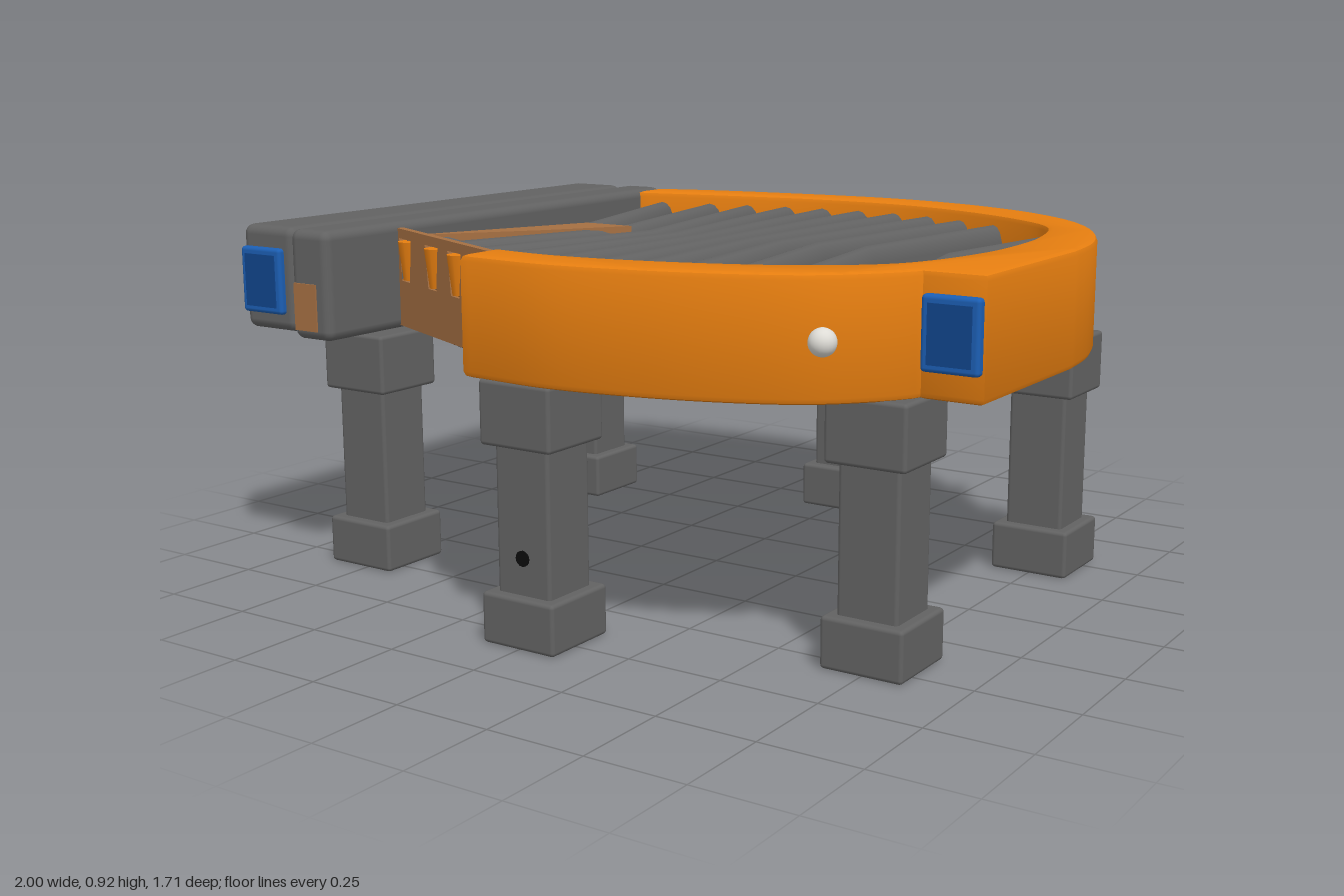
import * as THREE from 'three';
import { RoundedBoxGeometry } from 'three/addons/geometries/RoundedBoxGeometry.js';
import { toCreasedNormals } from 'three/addons/utils/BufferGeometryUtils.js';

function material(name, color, side = THREE.FrontSide) {
  const m = new THREE.MeshStandardMaterial({ color, side });
  m.name = name;
  return m;
}

export function createModel() {
  const model = new THREE.Group();
  model.name = 'slattedTable';
  const orange = material('orange', 0xe67e10);
  const grey = material('grey', 0x626262, THREE.DoubleSide);
  const brown = material('brown', 0xa56f42);
  const black = material('black', 0x0c0c0c);
  const blue = material('blue', 0x1c5fb4);
  const darkBlue = material('dark blue', 0x10458c);
  const white = material('white', 0xdedcd6);

  function add(name, geometry, mat, x = 0, y = 0, z = 0, parent = model) {
    const mesh = new THREE.Mesh(geometry, mat);
    mesh.name = name;
    mesh.position.set(x, y, z);
    parent.add(mesh);
    return mesh;
  }
  const rbox = (w, h, d, r = 0.015) => new RoundedBoxGeometry(w, h, d, 2, r);

  // Smooth curve through [x, z] pairs
  const smooth = (pts, n = 40) =>
    new THREE.SplineCurve(pts.map(p => new THREE.Vector2(...p))).getPoints(n);
  const corner = (x, z) => new THREE.Vector2(x, z);

  // Slab drawn in plan (x, z) between two heights
  function slab(points, bottom, top, bevel = 0) {
    const g = new THREE.ExtrudeGeometry(new THREE.Shape(points), {
      depth: top - bottom - 2 * bevel, bevelEnabled: bevel > 0, bevelSize: bevel,
      bevelThickness: bevel, bevelOffset: -bevel, bevelSegments: 2,
    });
    g.rotateX(Math.PI / 2);
    g.translate(0, top - bevel, 0);
    return toCreasedNormals(g, 0.6);
  }

  // Curved rim, with a stepped block at the left and an open front right
  const outerBack = smooth([[-0.69, -0.725], [-0.5, -0.785], [-0.25, -0.83], [0, -0.857], [0.2, -0.845],
    [0.4, -0.795], [0.6, -0.7], [0.78, -0.55], [0.9, -0.36], [0.97, -0.17], [0.995, 0]]);
  const outerFront = smooth([[0.84, 0.5], [0.79, 0.57], [0.69, 0.67], [0.55, 0.745], [0.35, 0.81],
    [0.1, 0.852], [-0.145, 0.84]]);
  const inner = smooth([[-0.145, 0.71], [0.02, 0.725], [0.2, 0.705], [0.4, 0.65], [0.58, 0.57], [0.72, 0.46],
    [0.785, 0.34], [0.825, 0.16], [0.83, 0], [0.81, -0.2], [0.74, -0.42], [0.6, -0.55], [0.4, -0.655],
    [0.2, -0.715], [0, -0.73], [-0.2, -0.715], [-0.45, -0.665], [-0.69, -0.61]], 70);
  add('rim', slab([...outerBack, corner(0.995, 0.485), corner(0.845, 0.485), ...outerFront, ...inner],
    0.63, 0.915, 0.015), orange);

  // Dark bed under the slats
  add('bed', slab([...inner, corner(-0.69, 0.45)], 0.645, 0.78), black);

  // Bent slats, pinched at the middle: apexX, backX, backZ, frontX, frontZ
  const slats = [
    [-0.44, -0.61, -0.63, -0.62, 0.48], [-0.32, -0.46, -0.67, -0.5, 0.53],
    [-0.21, -0.34, -0.69, -0.37, 0.59], [-0.13, -0.22, -0.72, -0.25, 0.65],
    [-0.055, -0.1, -0.73, -0.11, 0.72], [0.02, 0.02, -0.74, 0.03, 0.73],
    [0.1, 0.14, -0.73, 0.15, 0.72], [0.19, 0.26, -0.71, 0.28, 0.7],
    [0.3, 0.38, -0.67, 0.41, 0.66], [0.44, 0.51, -0.62, 0.54, 0.6],
    [0.67, 0.73, -0.45, 0.76, 0.42],
  ];
  const ARC = 8;
  function slatGeometry([ax, bx, bz, fx, fz]) {
    const sections = [[bx, bz, 0.042], [ax, 0, 0.033], [fx, fz, 0.042]];
    const pos = [], index = [];
    for (const [x, z, r] of sections) {
      for (let i = 0; i <= ARC; i++) {
        const a = Math.PI * i / ARC;
        pos.push(x + r * Math.cos(a), 0.775 + 0.11 * Math.sqrt(Math.sin(a) + 1e-6), z);
      }
    }
    for (let s = 0; s < 2; s++) {
      for (let i = 0; i < ARC; i++) {
        const a = s * (ARC + 1) + i, b = a + ARC + 1;
        index.push(a, a + 1, b, b, a + 1, b + 1);
      }
    }
    const g = new THREE.BufferGeometry();
    g.setAttribute('position', new THREE.Float32BufferAttribute(pos, 3));
    g.setIndex(index);
    return toCreasedNormals(g, 0.7);
  }
  slats.forEach(s => add('slat', slatGeometry(s), grey));
  add('brownWedge', slab([corner(-0.43, -0.01), corner(-0.28, -0.01), corner(-0.42, 0.2), corner(-0.64, 0.48)],
    0.78, 0.89), brown);

  // Thin slotted wall closing the front right, with slat tips in its slots
  const wall = new THREE.Group();
  wall.name = 'slottedWall';
  wall.position.set(-0.69, 0, 0.455);
  wall.rotation.y = -Math.atan2(0.255, 0.55);
  model.add(wall);
  const face = new THREE.Shape([corner(0, 0.65), corner(0.61, 0.65), corner(0.61, 0.905), corner(0, 0.905)]);
  for (const u of [0.06, 0.23, 0.37, 0.49]) {
    face.holes.push(new THREE.Path([corner(u - 0.025, 0.77), corner(u - 0.04, 0.88),
      corner(u + 0.04, 0.88), corner(u + 0.025, 0.77)]));
    const tip = new THREE.CylinderGeometry(0.034, 0.022, 0.1, 10);
    add('slatTip', tip, orange, u + 0.006, 0.825, -0.004, wall);
  }
  add('wallPanel', new THREE.ExtrudeGeometry(face, { depth: 0.02, bevelEnabled: false }), brown, 0, 0, -0.01, wall);

  // Twin side beams
  add('outerBeam', rbox(0.18, 0.27, 1.42, 0.025), grey, -0.91, 0.785, 0);
  add('innerBeam', rbox(0.13, 0.28, 1.46, 0.025), grey, -0.745, 0.78, 0);
  for (const s of [1, -1]) {
    add('beamPatch', new THREE.BoxGeometry(0.075, 0.12, 0.008), brown, -0.757, 0.725, s * 0.731);
  }

  // Blue end pads
  function pad(x, z, dir) {
    add('padFrame', rbox(0.14, 0.17, 0.03, 0.01), blue, x, 0.78, z);
    add('padFace', new THREE.BoxGeometry(0.105, 0.135, 0.006), darkBlue, x, 0.78, z + dir * 0.015);
  }
  pad(-0.92, 0.712, 1);
  pad(-0.92, -0.712, -1);
  pad(0.92, 0.492, 1);

  // Round studs on the rim
  for (const [x, z] of [[0.705, 0.67], [0.72, -0.63], [-0.645, -0.755]]) {
    add('stud', new THREE.SphereGeometry(0.032, 20, 14), white, x, 0.77, z);
  }

  // Six legs with square caps and feet
  for (const s of [1, -1]) {
    for (const [x, z] of [[-0.77, 0.46], [0, 0.74], [0.75, 0.46]]) {
      const leg = new THREE.Group();
      leg.name = 'leg';
      leg.position.set(x, 0, s * z);
      model.add(leg);
      add('foot', rbox(0.21, 0.125, 0.21, 0.01), grey, 0, 0.0625, 0, leg);
      add('post', rbox(0.155, 0.4, 0.155, 0.01), grey, 0, 0.3, 0, leg);
      add('cap', rbox(0.205, 0.155, 0.205, 0.01), grey, 0, 0.555, 0, leg);
      if (x === 0) {
        const dot = add('legHole', new THREE.CylinderGeometry(0.019, 0.019, 0.006, 16), black,
          0, 0.215, s * 0.078, leg);
        dot.rotation.x = Math.PI / 2;
      }
    }
  }
  return model;
}
